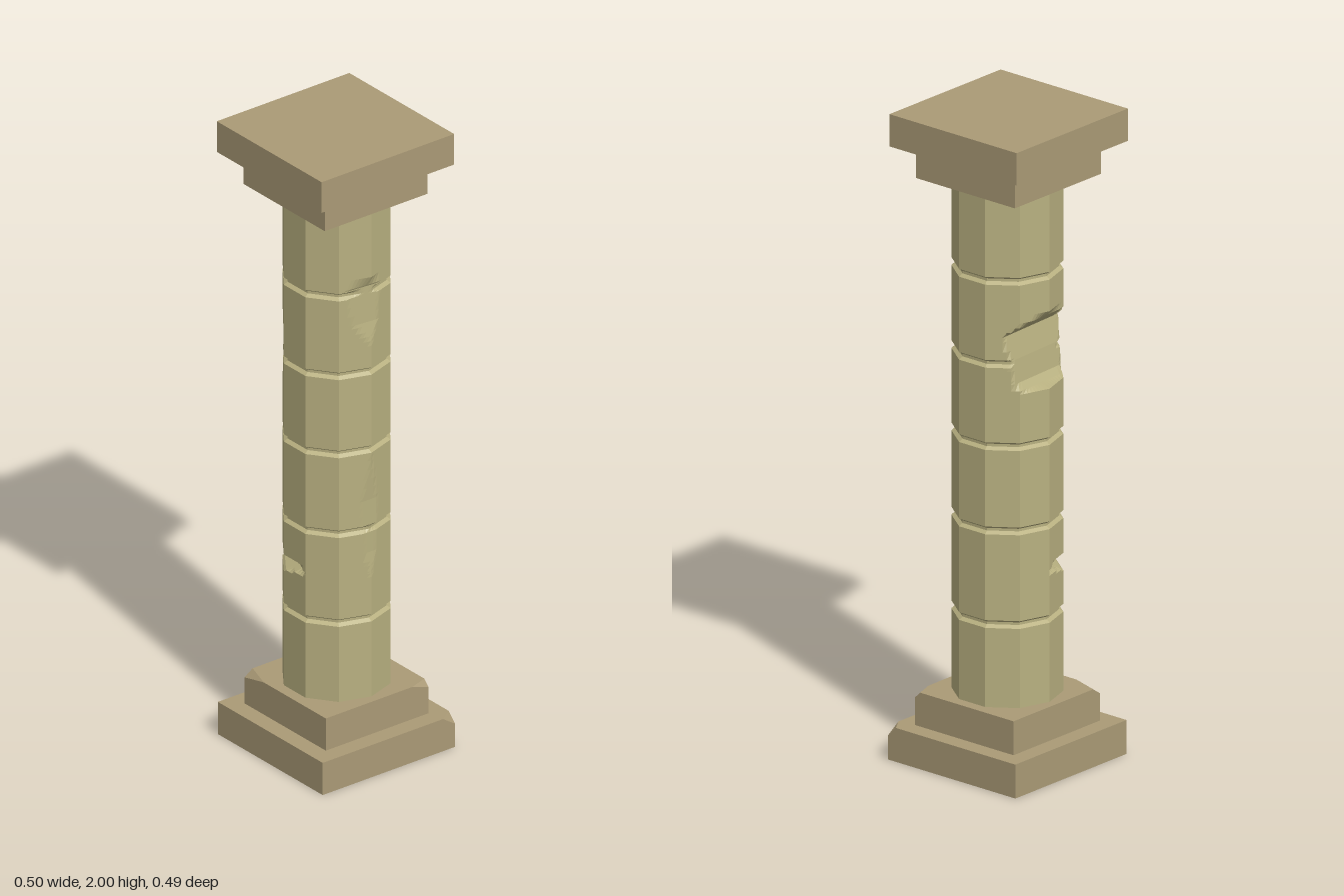
import * as THREE from 'three';
import { ConvexGeometry } from 'three/addons/geometries/ConvexGeometry.js';

const SIDES = 10, SUB = 8, R = 0.163;
const Y0 = 0.2, Y1 = 1.81;
const GROOVES = [0.467, 0.757, 1.018, 1.273, 1.53];

// Chips: flat cuts facing (x, z), each with [height, distance from axis] steps.
const CHIPS = [
  { dir: [-1, 0.05], cut: [[1.18, 0.165], [1.19, 0.128], [1.21, 0.112], [1.28, 0.102], [1.355, 0.085], [1.385, 0.125], [1.42, 0.165]] },
  { dir: [-0.59, 0.81], cut: [[0.583, 0.165], [0.612, 0.097], [0.618, 0.097], [0.637, 0.165]] },
  { dir: [1, 0.1], cut: [[1.35, 0.164], [1.43, 0.15], [1.545, 0.145], [1.58, 0.164]] },
  { dir: [1, 0], cut: [[0.6, 0.163], [0.68, 0.156], [0.85, 0.154], [1.0, 0.163]] },
];

// Distance of a cut from the axis at height y.
function cutDistance(cut, y) {
  for (let i = 1; i < cut.length; i++) {
    const [ya, da] = cut[i - 1], [yb, db] = cut[i];
    if (y >= ya && y <= yb) return da + (db - da) * (y - ya) / (yb - ya);
  }
  return Infinity;
}

// Radius of the shaft: ten-sided outline, grooves, then chips.
function shaftRadius(theta, y) {
  const step = 2 * Math.PI / SIDES;
  const local = ((theta % step) + step) % step;
  const fromMiddle = Math.min(local, step - local);
  let inset = 0;
  for (const g of GROOVES) {
    inset = Math.max(inset, 0.012 * THREE.MathUtils.clamp((0.012 - Math.abs(y - g)) / 0.008, 0, 1));
  }
  let r = (R - inset) * Math.cos(step / 2) / Math.cos(fromMiddle);
  for (const { dir, cut } of CHIPS) {
    const facing = Math.cos(theta - Math.atan2(dir[0], dir[1]));
    if (facing > 0.1) r = Math.min(r, cutDistance(cut, y) / facing);
  }
  return r;
}

function shaftGeometry() {
  // Rings at every groove edge and chip step, with even ones between.
  const heights = [Y0, Y1];
  for (let y = Y0 + 0.03; y < Y1; y += 0.03) heights.push(y);
  for (const g of GROOVES) heights.push(g - 0.012, g - 0.004, g + 0.004, g + 0.012);
  for (const { cut } of CHIPS) for (const [y] of cut) heights.push(y);
  const ys = [...new Set(heights)].sort((a, b) => a - b);

  const n = SIDES * SUB, pos = [], index = [];
  ys.forEach((y, j) => {
    for (let i = 0; i < n; i++) {
      const t = 2 * Math.PI * i / n, r = shaftRadius(t, y);
      pos.push(r * Math.sin(t), y, r * Math.cos(t));
      if (j === 0) continue;
      const k = (i + 1) % n, lo = (j - 1) * n, hi = j * n;
      index.push(lo + i, lo + k, hi + k, lo + i, hi + k, hi + i);
    }
  });
  const geo = new THREE.BufferGeometry();
  geo.setAttribute('position', new THREE.Float32BufferAttribute(pos, 3));
  geo.setIndex(index);
  geo.computeVertexNormals();
  return geo;
}

// Square slab; chips = [[signX, signZ, alongX, down, alongZ]] break off top corners.
function slabGeometry(half, y0, y1, chips = []) {
  const pts = [];
  for (const sx of [-1, 1]) for (const sz of [-1, 1]) {
    const x = sx * half, z = sz * half;
    pts.push(new THREE.Vector3(x, y0, z));
    const chip = chips.find(c => c[0] === sx && c[1] === sz);
    if (!chip) {
      pts.push(new THREE.Vector3(x, y1, z));
      continue;
    }
    const [, , ax, down, az] = chip;
    pts.push(
      new THREE.Vector3(x - sx * ax, y1, z),
      new THREE.Vector3(x, y1 - down, z),
      new THREE.Vector3(x, y1, z - sz * az));
  }
  return new ConvexGeometry(pts);
}

export function createModel() {
  const group = new THREE.Group();
  const stone = new THREE.MeshStandardMaterial({ color: 0xaa9a76, flatShading: true });
  const shaftStone = new THREE.MeshStandardMaterial({ color: 0xb8b080, flatShading: true });
  const add = (name, geo, mat, x = 0) => {
    const mesh = new THREE.Mesh(geo, mat);
    mesh.name = name;
    mesh.position.x = x;
    group.add(mesh);
  };

  // Stepped base with broken corners
  add('basePlinth', slabGeometry(0.245, 0, 0.105, [[1, -1, 0.03, 0.03, 0.045]]), stone);
  add('baseStep', slabGeometry(0.19, 0.105, 0.21, [[-1, 1, 0.09, 0.02, 0.03], [1, -1, 0.02, 0.02, 0.06]]), stone);

  // Grooved, chipped shaft
  add('shaft', shaftGeometry(), shaftStone);

  // Stepped capital, sitting slightly off centre
  add('capitalNeck', slabGeometry(0.19, 1.8, 1.9), stone, -0.005);
  add('capitalSlab', slabGeometry(0.245, 1.9, 2), stone, -0.005);
  return group;
}
